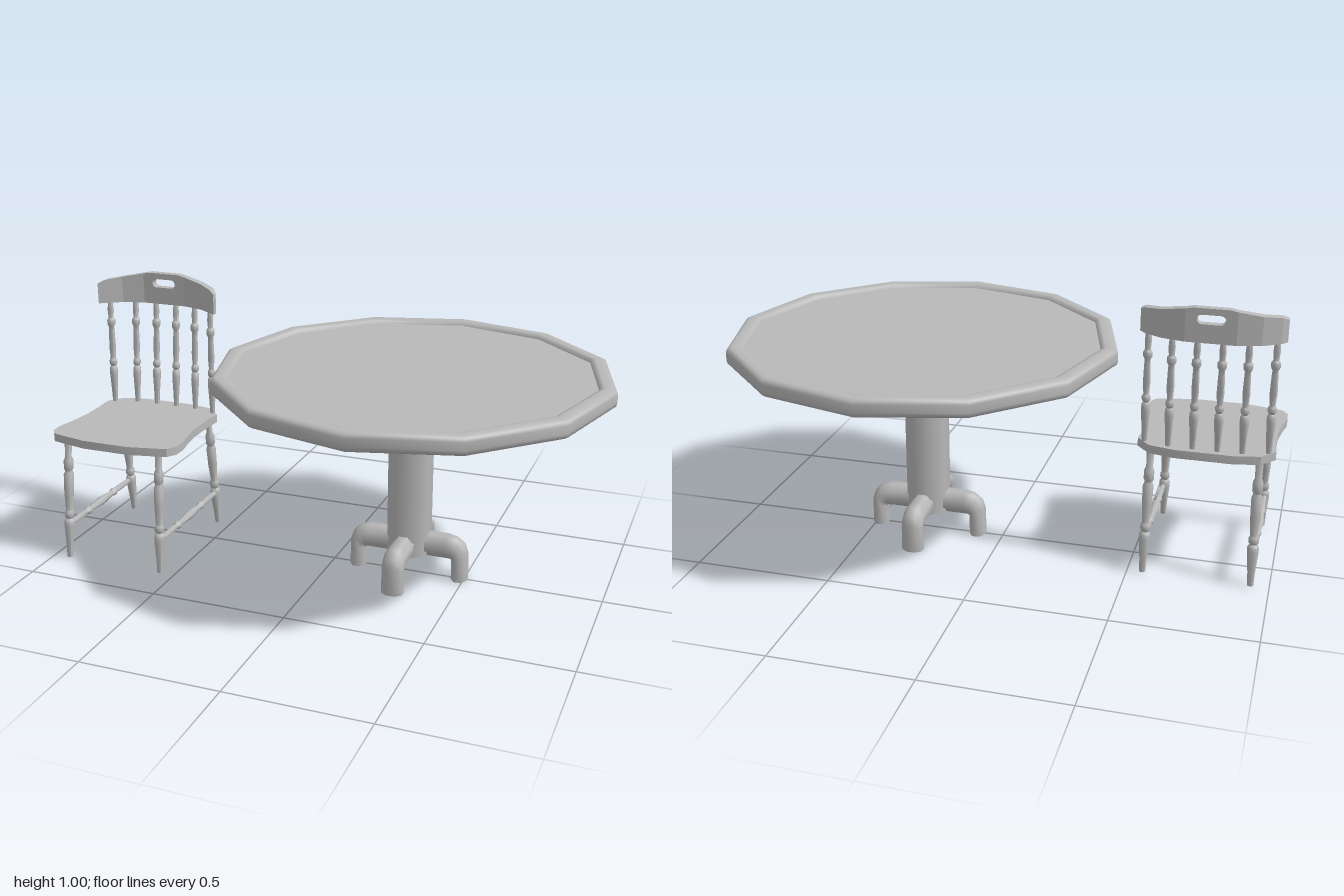
import * as THREE from 'three';
import { toCreasedNormals } from 'three/addons/utils/BufferGeometryUtils.js';

const V = (x, y, z) => new THREE.Vector3(x, y, z);

export function createModel() {
  const grey = new THREE.MeshStandardMaterial({ color: 0xb8b8b8 });
  grey.name = 'plain grey';
  const add = (parent, name, geometry) => {
    const mesh = new THREE.Mesh(geometry, grey);
    mesh.name = name;
    parent.add(mesh);
    return mesh;
  };
  const lathe = (points, sides) =>
    new THREE.LatheGeometry(points.map(p => new THREE.Vector2(p[0], p[1])), sides);

  // Turned rod between two points; profile is [radius, fraction of the length]
  const turned = (parent, name, from, to, profile) => {
    const axis = to.clone().sub(from);
    const length = axis.length();
    const rod = add(parent, name, lathe([[0, 0], ...profile, [0, 1]].map(([r, t]) => [r, t * length]), 8));
    rod.geometry = toCreasedNormals(rod.geometry, 0.9);
    rod.position.copy(from);
    rod.quaternion.setFromUnitVectors(V(0, 1, 0), axis.normalize());
  };

  const model = new THREE.Group();
  model.name = 'tableAndChair';

  // ---- Table ----
  const table = new THREE.Group();
  table.name = 'table';
  table.position.x = 0.29;
  model.add(table);

  // Twelve-sided top with a raised rim around a recessed surface
  const top = lathe([[0, 0.715], [0.692, 0.715], [0.703, 0.722], [0.706, 0.735], [0.706, 0.762],
    [0.702, 0.773], [0.69, 0.78], [0.662, 0.78], [0.65, 0.776], [0.645, 0.765]], 12);
  add(table, 'tableTopRim', top);
  const surface = new THREE.CircleGeometry(0.645, 12).rotateX(-Math.PI / 2).translate(0, 0.765, 0);
  add(table, 'tableTopSurface', surface);

  const column = new THREE.CylinderGeometry(0.081, 0.081, 0.63, 8, 1, true).rotateY(Math.PI / 8);
  add(table, 'pedestalColumn', column).position.y = 0.4;

  // Curved foot: sections given as [inner r, inner y, outer r, outer y]
  const sections = [[0, 0.08, 0, 0.165], [0.145, 0.08, 0.145, 0.165], [0.157, 0.08, 0.18, 0.157],
    [0.163, 0.077, 0.208, 0.135], [0.165, 0.07, 0.22, 0.1], [0.165, 0, 0.222, 0]];
  const positions = [], index = [];
  const sides = 8, k = 1 / Math.cos(Math.PI / 8);
  const ring = ([r0, y0, r1, y1]) => {
    for (let j = 0; j < sides; j++) {
      const t = ((j + 0.5) / sides) * Math.PI * 2;
      const c = 0.5 + 0.5 * k * Math.cos(t);
      positions.push(r0 + (r1 - r0) * c, y0 + (y1 - y0) * c, 0.038 * k * Math.sin(t));
    }
  };
  sections.forEach(ring);
  for (let i = 0; i < sections.length - 1; i++) {
    for (let j = 0; j < sides; j++) {
      const a = i * sides + j, b = i * sides + (j + 1) % sides;
      index.push(a, b, a + sides, b, b + sides, a + sides);
    }
  }
  // Flat sole
  const sole = positions.length / 3;
  ring(sections[sections.length - 1]);
  for (let j = 1; j < sides - 1; j++) index.push(sole, sole + j, sole + j + 1);
  const foot = new THREE.BufferGeometry();
  foot.setAttribute('position', new THREE.Float32BufferAttribute(positions, 3));
  foot.setIndex(index);
  foot.computeVertexNormals();
  for (let i = 0; i < 4; i++) add(table, 'pedestalFoot', foot).rotation.y = i * Math.PI / 2;

  // ---- Chair ----
  const chair = new THREE.Group();
  chair.name = 'chair';
  chair.position.x = -0.745;
  model.add(chair);

  // Shaped seat: half outline [x, z], mirrored
  const half = [[0.1, -0.145], [0.19, -0.125], [0.237, -0.07], [0.231, 0], [0.231, 0.1], [0.24, 0.18],
    [0.254, 0.25], [0.252, 0.295], [0.23, 0.327], [0.19, 0.337], [0.09, 0.358]];
  const outline = [...half, ...half.map(([x, z]) => [-x, z]).reverse()];
  const seatShape = new THREE.Shape(outline.map(([x, z]) => new THREE.Vector2(x, -z)));
  const seat = new THREE.ExtrudeGeometry(seatShape, { depth: 0.03, bevelEnabled: false });
  seat.rotateX(-Math.PI / 2).translate(0, 0.455, 0);
  add(chair, 'seat', toCreasedNormals(seat, 0.6));

  // Back rest: panels bent around the sitter, [x, front z, back z, top y]
  const bends = [[-0.243, -0.06, -0.082, 0.957], [-0.225, -0.072, -0.105, 0.968], [-0.165, -0.112, -0.143, 0.978],
    [-0.085, -0.134, -0.163, 0.993], [-0.06, -0.134, -0.163, 0.998]];
  const stations = [...bends, ...bends.map(([x, ...rest]) => [-x, ...rest]).reverse()];
  for (let i = 0; i < stations.length - 1; i++) {
    const [x0, f0, b0, y0] = stations[i], [x1, f1, b1, y1] = stations[i + 1];
    const panel = new THREE.Shape([[x0, 0.88], [x1, 0.88], [x1, y1], [x0, y0]]
      .map(p => new THREE.Vector2(...p)));
    if (i === bends.length - 1) {
      // Hand hole
      const hole = new THREE.Path();
      hole.absarc(0.031, 0.96, 0.016, Math.PI / 2, -Math.PI / 2, true);
      hole.absarc(-0.031, 0.96, 0.016, -Math.PI / 2, Math.PI / 2, true);
      panel.holes.push(hole);
    }
    const geometry = new THREE.ExtrudeGeometry(panel, { depth: 1, bevelEnabled: false, curveSegments: 6 });
    const p = geometry.attributes.position;
    for (let v = 0; v < p.count; v++) {
      const t = (p.getX(v) - x0) / (x1 - x0);
      const back = b0 + (b1 - b0) * t, front = f0 + (f1 - f0) * t;
      p.setZ(v, back + (front - back) * p.getZ(v));
    }
    geometry.computeVertexNormals();
    add(chair, 'backRest', geometry);
  }

  // Turned spindles, legs and side stretchers
  const spindle = [[0.009, 0], [0.012, 0.15], [0.016, 0.3], [0.015, 0.35], [0.01, 0.37], [0.015, 0.39], [0.015, 0.42],
    [0.01, 0.44], [0.013, 0.55], [0.011, 0.7], [0.01, 0.74], [0.016, 0.77], [0.016, 0.81], [0.01, 0.83], [0.012, 0.9], [0.009, 1]];
  const leg = [[0.011, 0], [0.013, 0.1], [0.02, 0.27], [0.02, 0.31], [0.013, 0.33], [0.018, 0.35], [0.018, 0.38], [0.013, 0.4],
    [0.018, 0.55], [0.019, 0.7], [0.013, 0.73], [0.018, 0.75], [0.018, 0.82], [0.012, 0.85], [0.014, 1]];
  const stretcher = [[0.009, 0], [0.012, 0.2], [0.009, 0.26], [0.015, 0.28], [0.015, 0.31], [0.01, 0.33], [0.017, 0.5],
    [0.01, 0.67], [0.015, 0.69], [0.015, 0.72], [0.009, 0.74], [0.012, 0.8], [0.009, 1]];
  for (const s of [-1, 1]) {
    for (const [x, bottom, head] of [[0.042, -0.113, -0.147], [0.126, -0.11, -0.137], [0.212, -0.085, -0.093]]) {
      turned(chair, 'backSpindle', V(s * x, 0.475, bottom), V(s * x, 0.89, head), spindle);
    }
    turned(chair, 'frontLeg', V(s * 0.19, 0.004, 0.346), V(s * 0.186, 0.465, 0.306), leg);
    turned(chair, 'backLeg', V(s * 0.19, 0.004, -0.143), V(s * 0.186, 0.465, -0.096), leg);
    turned(chair, 'sideStretcher', V(s * 0.192, 0.13, 0.333), V(s * 0.192, 0.135, -0.128), stretcher);
  }
  return model;
}
